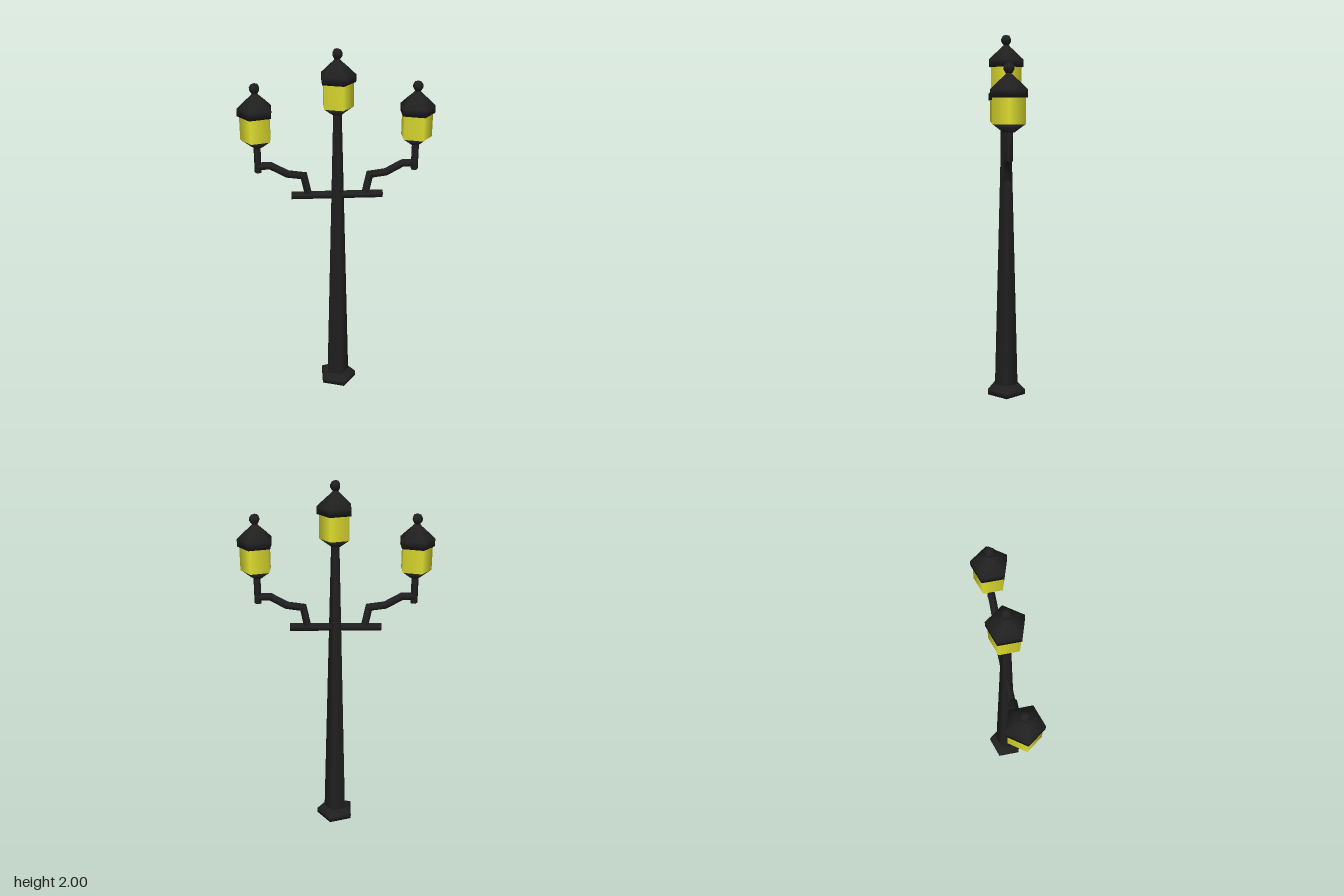
import * as THREE from 'three';

const SIDES = 5;
const iron = new THREE.MeshStandardMaterial({ name: 'black iron', color: 0x202020 });
const glass = new THREE.MeshStandardMaterial({ name: 'yellow glass', color: 0xe0de30 });

function addMesh(parent, name, geometry, material) {
  const mesh = new THREE.Mesh(geometry, material);
  mesh.name = name;
  parent.add(mesh);
  return mesh;
}

// Five-sided turned part with one corner towards +x; profile is [radius, y] from bottom to top
function turned(parent, name, profile, material = iron) {
  const points = profile.map(([r, y]) => new THREE.Vector2(r, y));
  return addMesh(parent, name, new THREE.LatheGeometry(points, SIDES, Math.PI / 2), material);
}

// Five-sided bar swept along a path in the xy plane, with mitred corners
function sweptBar(path, radius) {
  const points = path.map(([x, y]) => new THREE.Vector2(x, y));
  const direction = (i) => points[i + 1].clone().sub(points[i]).normalize();
  const last = points.length - 1;
  const positions = [], indices = [];
  points.forEach((p, i) => {
    const before = direction(Math.max(i - 1, 0));
    const after = direction(Math.min(i, last - 1));
    const along = before.clone().add(after).normalize();
    const mitre = radius / along.dot(after);
    for (let k = 0; k < SIDES; k++) {
      const a = (k / SIDES) * Math.PI * 2;
      const out = Math.cos(a) * mitre;
      positions.push(p.x - along.y * out, p.y + along.x * out, Math.sin(a) * radius);
      if (i < last) {
        const j = i * SIDES + k, n = i * SIDES + ((k + 1) % SIDES);
        indices.push(j, n, j + SIDES, n, n + SIDES, j + SIDES);
      }
    }
  });
  const geometry = new THREE.BufferGeometry();
  geometry.setAttribute('position', new THREE.Float32BufferAttribute(positions, 3));
  geometry.setIndex(indices);
  geometry.computeVertexNormals();
  return geometry;
}

// Lantern, measured up from the bottom of its cup
function makeLantern() {
  const lantern = new THREE.Group();
  lantern.name = 'lantern';
  turned(lantern, 'lanternCup', [[0, 0], [0.028, 0], [0.084, 0.04], [0, 0.04]]);
  turned(lantern, 'lanternGlass', [[0.086, 0.04], [0.086, 0.17]], glass);
  turned(lantern, 'lanternRoof', [
    [0, 0.168], [0.097, 0.168], [0.097, 0.207], [0.057, 0.245], [0.026, 0.272], [0.014, 0.285], [0, 0.285],
  ]);
  turned(lantern, 'lanternFinial', [
    [0, 0.281], [0.018, 0.287], [0.028, 0.303], [0.028, 0.316], [0.018, 0.333], [0, 0.339],
  ]);
  return lantern;
}

// Arm, post and lantern reaching out along +x
function makeBranch(name) {
  const branch = new THREE.Group();
  branch.name = name;
  const arm = [[0.154, 1.212], [0.178, 1.325], [0.264, 1.337], [0.35, 1.385], [0.416, 1.385]];
  addMesh(branch, 'curvedArm', sweptBar(arm, 0.021), iron);
  const post = turned(branch, 'lanternPost', [[0, 1.35], [0.02, 1.35], [0.02, 1.5], [0, 1.5]]);
  post.position.x = 0.416;
  const lantern = makeLantern();
  lantern.position.set(0.416, 1.492, 0);
  branch.add(lantern);
  return branch;
}

export function createModel() {
  const model = new THREE.Group();
  model.name = 'streetLamp';

  // Foot and tapering pole
  turned(model, 'foot', [[0, 0], [0.111, 0], [0.111, 0.03], [0.068, 0.055], [0, 0.055]]);
  turned(model, 'pole', [[0.068, 0.04], [0.024, 1.67]]);

  // Crossbar through the pole
  const bar = new THREE.CylinderGeometry(0.022, 0.022, 0.494, SIDES, 1, false, Math.PI / 2);
  bar.rotateZ(Math.PI / 2);
  addMesh(model, 'crossbar', bar, iron).position.y = 1.212;

  // Top lantern
  const top = makeLantern();
  top.name = 'topLantern';
  top.position.y = 1.661;
  model.add(top);

  // Side branches, the second turned half way round
  const left = makeBranch('leftBranch');
  const right = makeBranch('rightBranch');
  left.position.x = right.position.x = -0.002;
  right.rotation.y = Math.PI;
  model.add(left, right);

  return model;
}
